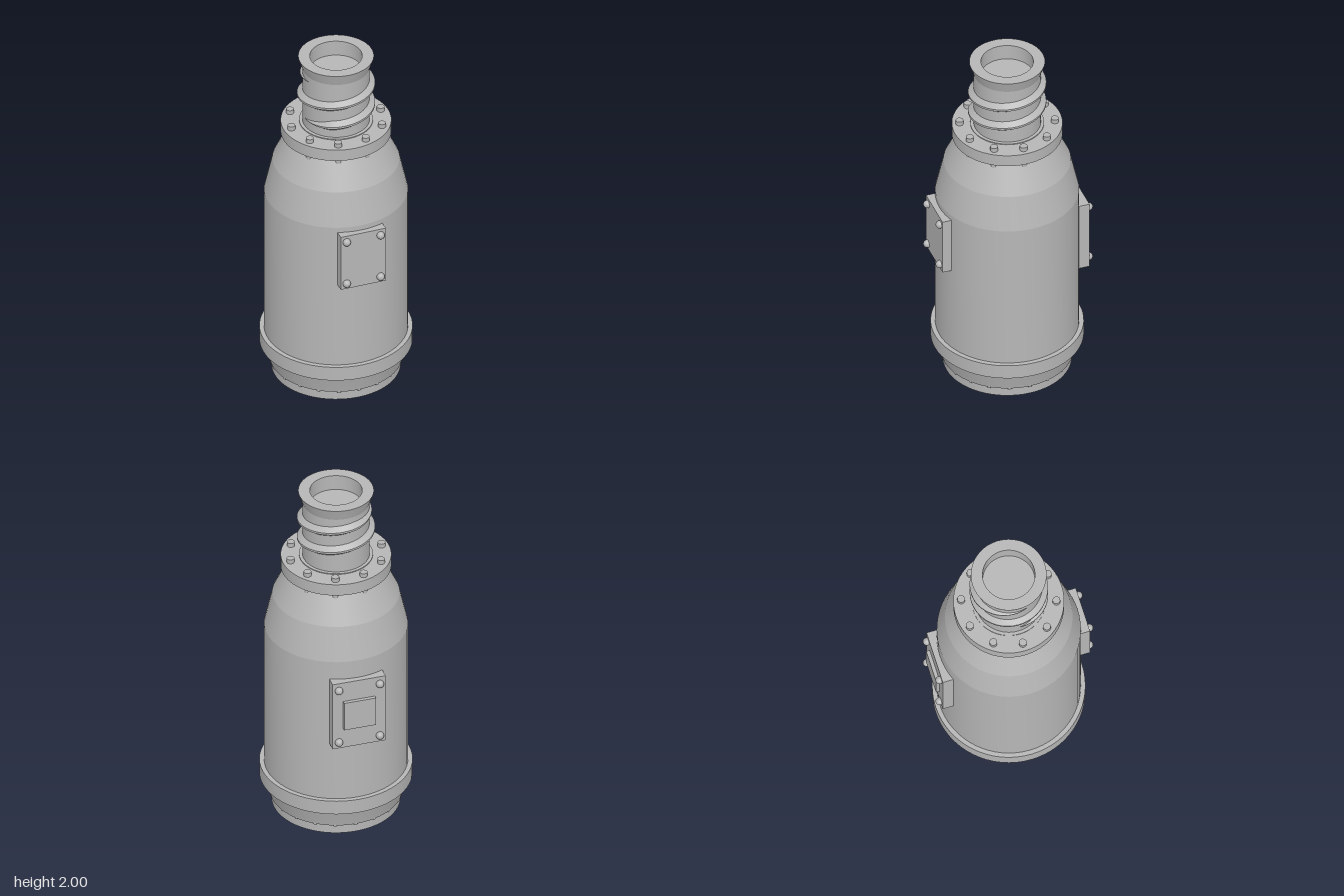
import * as THREE from 'three';
import { toCreasedNormals } from 'three/addons/utils/BufferGeometryUtils.js';

const grey = new THREE.MeshStandardMaterial({ color: 0xb6b6b6 });
grey.name = 'plain grey';

export function createModel() {
  const model = new THREE.Group();
  model.name = 'canister';

  const add = (name, geometry, x = 0, y = 0, z = 0, parent = model) => {
    const mesh = new THREE.Mesh(geometry, grey);
    mesh.name = name;
    mesh.position.set(x, y, z);
    parent.add(mesh);
    return mesh;
  };
  // Turned part from [radius, height] pairs, listed from the bottom up
  const turned = (name, points, segments = 64) =>
    add(name, toCreasedNormals(new THREE.LatheGeometry(
      points.map(([r, y]) => new THREE.Vector2(r, y)), segments), 0.18));

  // Main shell, with a funnel recess in its base
  turned('body', [
    [0, 0.075], [0.22, 0.075], [0.3, 0], [0.35, 0], [0.35, 0.05], [0.36, 0.055],
    [0.385, 0.15], [0.39, 0.165], [0.39, 1.14], [0.345, 1.34], [0.262, 1.515], [0, 1.515],
  ]);
  turned('lowerBand', [[0.38, 0.165], [0.415, 0.165], [0.415, 0.25], [0.38, 0.25]]);
  turned('collar', [[0.18, 1.515], [0.3, 1.515], [0.3, 1.585], [0.2, 1.585], [0.2, 1.59], [0.17, 1.59]]);

  // Neck with flared mouth and shallow bore
  turned('neck', [
    [0.182, 1.58], [0.182, 1.93], [0.205, 2], [0.142, 2], [0.142, 1.91], [0, 1.91],
  ]);
  add('neckThread', threadGeometry());

  // Bolts through the collar
  const bolt = new THREE.CylinderGeometry(0.021, 0.021, 0.13, 16);
  for (let i = 0; i < 10; i++) {
    const a = (i * Math.PI) / 5;
    add('collarBolt', bolt, 0.258 * Math.cos(a), 1.545, 0.258 * Math.sin(a));
  }
  // Small pins around the foot
  const pin = new THREE.CylinderGeometry(0.012, 0.012, 0.03, 10);
  for (let i = 0; i < 20; i++) {
    const a = (i * Math.PI) / 10;
    add('footPin', pin, 0.35 * Math.cos(a), 0.065, 0.35 * Math.sin(a));
  }

  // Riveted plates, front and back
  const rivet = new THREE.SphereGeometry(0.022, 20, 14);
  const plate = (name, w, y0, y1, rivetX, inset, rivetZ) => {
    const group = new THREE.Group();
    group.name = name;
    add(name + 'Panel', new THREE.BoxGeometry(w, y1 - y0, 0.06), 0, (y0 + y1) / 2, 0.39, group);
    for (const x of [-rivetX, rivetX])
      for (const y of [y0 + inset, y1 - inset]) add(name + 'Rivet', rivet, x, y, rivetZ, group);
    model.add(group);
    return group;
  };
  plate('frontPlate', 0.26, 0.77, 1.11, 0.098, 0.036, 0.425);
  const back = plate('backPlate', 0.3, 0.61, 1.03, 0.116, 0.042, 0.428);
  add('raisedPad', new THREE.BoxGeometry(0.18, 0.175, 0.03), 0, 0.822, 0.425, back);
  back.rotation.y = Math.PI;

  return model;
}

// Spiral ridge with a triangular section that fades out at both ends
function threadGeometry() {
  const steps = 110, start = -Math.PI / 2, sweep = Math.PI * 4.1, pitch = 0.125;
  const pos = [], index = [];
  for (let i = 0; i <= steps; i++) {
    const t = i / steps, a = start + t * sweep;
    const y = 1.675 + (pitch * a) / (Math.PI * 2);
    const grow = Math.min(1, t * 12, (1 - t) * 8);
    for (const [r, h] of [[0.176, -0.034], [0.182 + 0.03 * grow, -0.006],
      [0.182 + 0.03 * grow, 0.006], [0.176, 0.034]])
      pos.push(r * Math.sin(a), y + h * grow, r * Math.cos(a));
    if (i === steps) break;
    for (let j = 0; j < 3; j++) {
      const p = i * 4 + j;
      index.push(p, p + 4, p + 1, p + 1, p + 4, p + 5);
    }
  }
  const g = new THREE.BufferGeometry();
  g.setAttribute('position', new THREE.Float32BufferAttribute(pos, 3));
  g.setIndex(index);
  return toCreasedNormals(g, 0.5);
}
